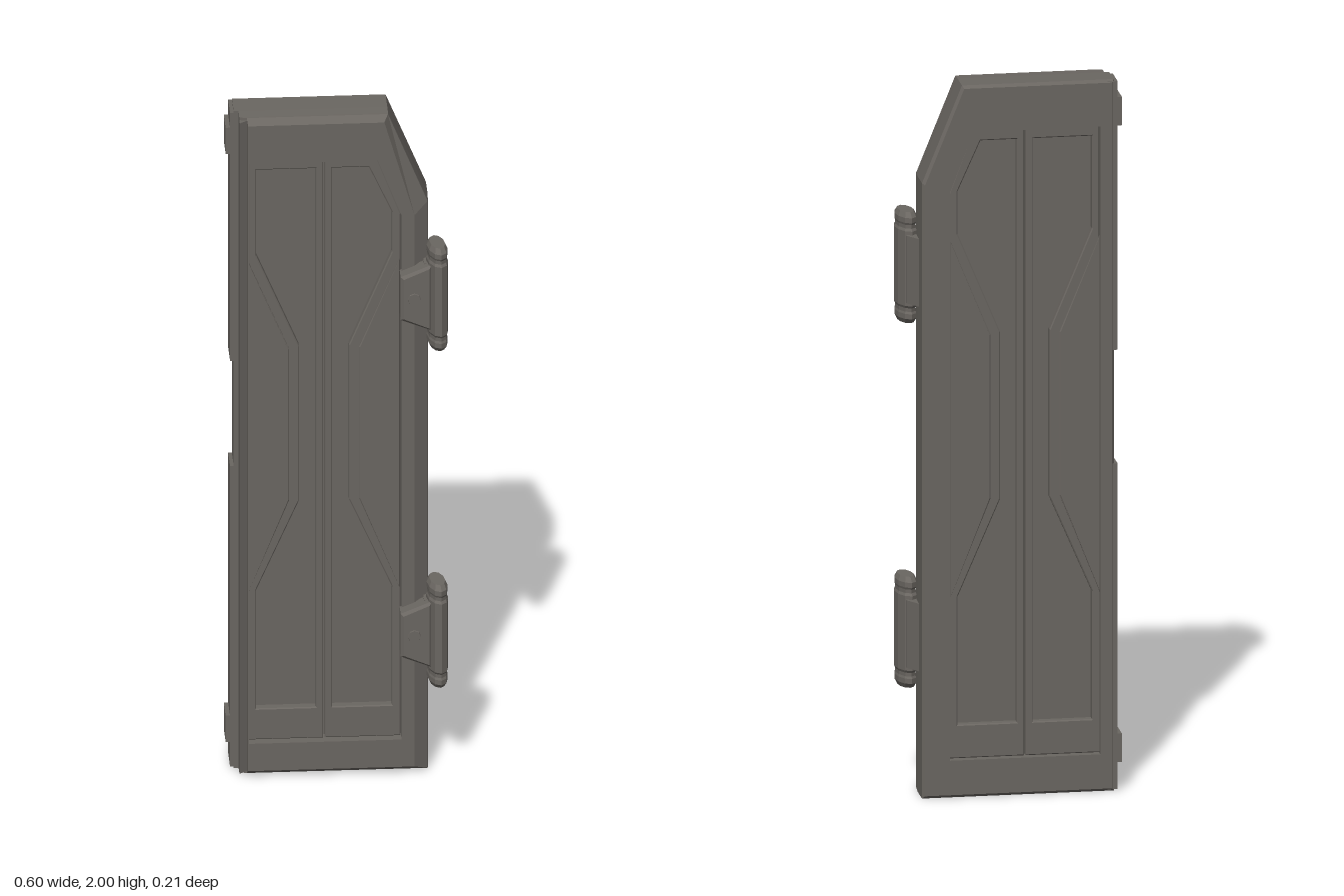
import * as THREE from 'three';

const metal = new THREE.MeshStandardMaterial({ color: 0x6a6661, flatShading: true });
metal.name = 'dark grey metal';

function add(parent, name, geometry, x = 0, y = 0, z = 0) {
  const mesh = new THREE.Mesh(geometry, metal);
  mesh.name = name;
  mesh.position.set(x, y, z);
  parent.add(mesh);
  return mesh;
}

// Box given by its limits
function block(parent, name, x0, x1, y0, y1, z0, z1) {
  return add(parent, name, new THREE.BoxGeometry(x1 - x0, y1 - y0, z1 - z0),
    (x0 + x1) / 2, (y0 + y1) / 2, (z0 + z1) / 2);
}

// Upright prism from [x, z] corners
function prism(parent, name, corners, y0, y1) {
  const shape = new THREE.Shape(corners.map(([x, z]) => new THREE.Vector2(x, -z)));
  const g = new THREE.ExtrudeGeometry(shape, { depth: y1 - y0, bevelEnabled: false });
  return add(parent, name, g.rotateX(-Math.PI / 2), 0, y0, 0);
}

// Door outline with one cut corner, counter-clockwise
const ring = (z, xl, xr, y0, y1, cutX, cutY) =>
  [[xl, y0, z], [xr, y0, z], [xr, cutY, z], [cutX, y1, z], [xl, y1, z]];

// Joins rings from front to back and closes both ends
function loft(rings) {
  const n = rings[0].length, pos = [];
  const tri = (...p) => p.forEach(v => pos.push(...v));
  for (let i = 0; i + 1 < rings.length; i++) {
    for (let j = 0; j < n; j++) {
      const k = (j + 1) % n;
      const a = rings[i][j], b = rings[i][k], c = rings[i + 1][k], d = rings[i + 1][j];
      tri(a, d, c);
      tri(a, c, b);
    }
  }
  const first = rings[0], last = rings[rings.length - 1];
  for (let j = 1; j + 1 < n; j++) {
    tri(first[0], first[j], first[j + 1]);
    tri(last[0], last[j + 1], last[j]);
  }
  const g = new THREE.BufferGeometry();
  g.setAttribute('position', new THREE.Float32BufferAttribute(pos, 3));
  g.computeVertexNormals();
  return g;
}

// Bevelled plate centred on z = 0; outlines wind one way, holes the other
function plate(points, hole, thickness, bevel) {
  const wound = (list, clockwise) => {
    const v = list.map(p => new THREE.Vector2(...p));
    return THREE.ShapeUtils.isClockWise(v) === clockwise ? v : v.reverse();
  };
  const shape = new THREE.Shape(wound(points, false));
  if (hole) shape.holes.push(new THREE.Path(wound(hole, true)));
  const g = new THREE.ExtrudeGeometry(shape, {
    depth: thickness - 2 * bevel, bevelEnabled: true, bevelThickness: bevel,
    bevelSize: bevel, bevelOffset: -bevel, bevelSegments: 1,
  });
  return g.translate(0, 0, bevel - thickness / 2);
}

// Recessed panel pair with pinched waist, mirrored about the centre seam
function addPanels(parent, floorZ, outward) {
  const seam = -0.035;
  for (const s of [-1, 1]) {
    const place = pts => pts.map(([d, y]) => [seam + s * d, y]);
    const cut = s > 0;
    const border = [[0.002, 0.106], [0.209, 0.106],
      ...(cut ? [[0.209, 1.695], [0.144, 1.869]] : [[0.204, 1.869]]), [0.002, 1.869]];
    const opening = [[0.022, 0.2], [0.185, 0.2], [0.185, 0.56], [0.068, 0.83], [0.068, 1.3],
      [0.185, 1.58], ...(cut ? [[0.185, 1.7], [0.122, 1.84]] : [[0.185, 1.84]]), [0.022, 1.84]];
    const wing = [[0.205, 0.56], [0.095, 0.835], [0.095, 1.295], [0.205, 1.56]];
    add(parent, 'panelBorder', plate(place(border), place(opening), 0.026, 0.003),
      0, 0, floorZ + outward * 0.013);
    add(parent, 'waistPlate', plate(place(wing), null, 0.032, 0.003),
      0, 0, floorZ + outward * 0.016);
  }
}

function createHinge(y) {
  const hinge = new THREE.Group();
  hinge.name = 'hinge';
  hinge.position.y = y;

  // Oval barrel with stepped ends, turned slightly outward
  const half = [[0.97, 0.105], [0.87, 0.112], [0.87, 0.122], [0.93, 0.128], [0.93, 0.142], [0.7, 0.156], [0, 0.156]];
  const profile = [...half.map(([r, h]) => [r, -h]).reverse(), ...half]
    .map(p => new THREE.Vector2(...p));
  const barrel = add(hinge, 'hingeBarrel', new THREE.LatheGeometry(profile, 10), 0.271, 0, 0.048);
  barrel.scale.set(0.029, 1, 0.06);
  barrel.rotation.y = 0.16;

  // Tapered front plate with its bolt
  add(hinge, 'hingePlate',
    plate([[0.17, -0.065], [0.255, -0.1], [0.255, 0.1], [0.17, 0.065]], null, 0.06, 0.008), 0, 0, 0.052);
  const bolt = add(hinge, 'hingeBolt', new THREE.CylinderGeometry(0.017, 0.019, 0.006, 8), 0.207, 0, 0.082);
  bolt.rotation.x = Math.PI / 2;

  // Wedge leaf wrapping onto the door edge
  prism(hinge, 'hingeLeaf', [[0.235, 0.055], [0.235, -0.052], [0.25, -0.052], [0.278, -0.01], [0.28, 0.04]], -0.095, 0.095);
  return hinge;
}

export function createModel() {
  const door = new THREE.Group();
  door.name = 'door';

  // Frame and core, swept from front recess around the edge to back recess
  add(door, 'doorFrame', loft([
    ring(-0.008, -0.24, 0.175, 0.105, 1.87, 0.11, 1.7),
    ring(0.04, -0.24, 0.175, 0.105, 1.87, 0.11, 1.7),
    ring(0.04, -0.243, 0.21, 0.022, 1.985, 0.128, 1.7),
    ring(0.015, -0.245, 0.247, 0.004, 1.998, 0.139, 1.73),
    ring(0.01, -0.265, 0.248, 0.004, 1.998, 0.14, 1.73),
    ring(-0.025, -0.265, 0.25, 0, 2, 0.14, 1.73),
    ring(-0.025, -0.278, 0.25, 0, 2, 0.14, 1.73),
    ring(-0.1, -0.278, 0.25, 0, 2, 0.14, 1.73),
    ring(-0.108, -0.272, 0.243, 0.008, 1.992, 0.135, 1.725),
    ring(-0.108, -0.24, 0.175, 0.105, 1.87, 0.11, 1.7),
    ring(-0.064, -0.24, 0.175, 0.105, 1.87, 0.11, 1.7),
  ]));
  addPanels(door, -0.008, 1);
  addPanels(door, -0.064, -1);

  // Closing edge: thin lip, two runs with a latch gap, and end tabs
  prism(door, 'edgeLip', [[-0.265, 0.03], [-0.265, 0], [-0.243, 0], [-0.243, 0.014]], 0.01, 1.99);
  for (const [y0, y1] of [[0.005, 0.92], [1.24, 1.995]])
    block(door, 'closingEdge', -0.288, -0.26, y0, y1, -0.106, -0.025);
  for (const [y0, y1] of [[0.08, 0.16], [1.87, 1.95]])
    block(door, 'edgeTab', -0.3, -0.27, y0, y1, -0.104, -0.025);

  for (const y of [0.44, 1.465]) door.add(createHinge(y));
  return door;
}
